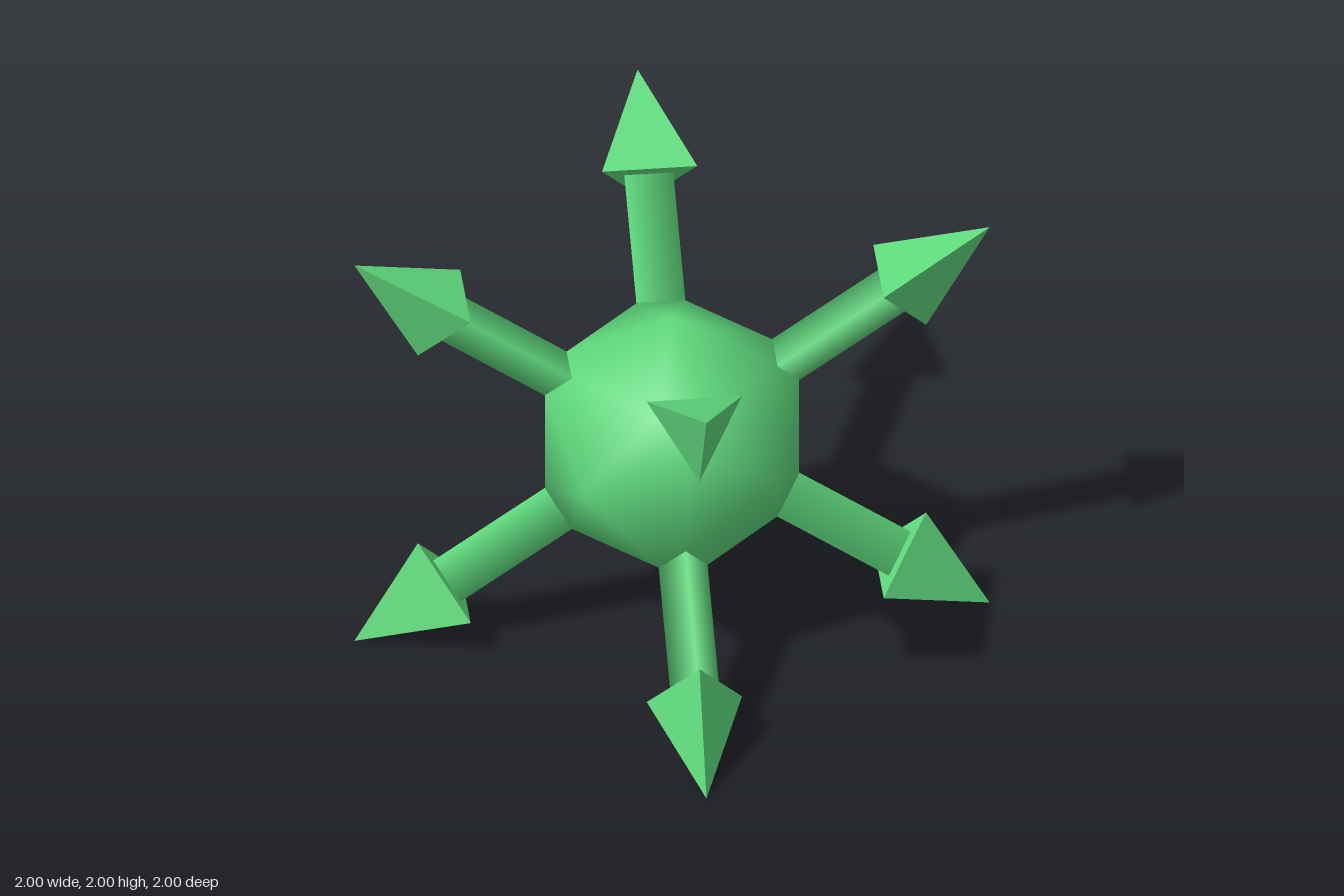
import * as THREE from 'three';
import { ConvexGeometry } from 'three/addons/geometries/ConvexGeometry.js';

const SIGNS = [-1, 1];

// Faceted ball: a point on each axis and a small triangle at each cube corner
function ballGeometry() {
  const points = [];
  for (const s of SIGNS) {
    for (let axis = 0; axis < 3; axis++) {
      points.push(new THREE.Vector3().setComponent(axis, s * 0.625));
      for (const a of SIGNS) for (const b of SIGNS) {
        const p = new THREE.Vector3(s, a, b).multiplyScalar(0.4);
        p.setComponent(axis, Math.sign(p.getComponent(axis)) * 0.25);
        points.push(p);
      }
    }
  }
  const geometry = new ConvexGeometry(points);
  // Radial normals shade the ball smoothly
  const pos = geometry.attributes.position;
  const n = new THREE.Vector3();
  for (let i = 0; i < pos.count; i++) {
    n.fromBufferAttribute(pos, i).normalize();
    geometry.attributes.normal.setXYZ(i, n.x, n.y, n.z);
  }
  return geometry;
}

export function createModel() {
  const model = new THREE.Group();
  model.name = 'spikedBall';
  const smooth = new THREE.MeshStandardMaterial({ color: 0x5fd97d });
  const flat = new THREE.MeshStandardMaterial({ color: 0x5fd97d, flatShading: true });

  const ball = new THREE.Mesh(ballGeometry(), smooth);
  ball.name = 'ball';
  ball.position.y = 1;
  model.add(ball);

  // Distances along the cube diagonal
  const root = 0.57, neck = 2.1 / Math.sqrt(3), tip = Math.sqrt(3);
  const shaftGeometry = new THREE.CylinderGeometry(0.126, 0.126, neck - root, 3)
    .translate(0, (neck + root) / 2, 0);
  const headGeometry = new THREE.ConeGeometry(0.1 * Math.sqrt(6), tip - neck, 3)
    .translate(0, (tip + neck) / 2, 0);

  // One arrow towards each cube corner, its three edges facing the axes
  for (const x of SIGNS) for (const y of SIGNS) for (const z of SIGNS) {
    const along = new THREE.Vector3(x, y, z).normalize();
    const edge = new THREE.Vector3(-2 * x, y, z).normalize();
    const side = new THREE.Vector3().crossVectors(along, edge);
    const arrow = new THREE.Group();
    arrow.name = 'arrow';
    arrow.quaternion.setFromRotationMatrix(new THREE.Matrix4().makeBasis(side, along, edge));
    arrow.position.y = 1;

    const shaft = new THREE.Mesh(shaftGeometry, smooth);
    shaft.name = 'arrowShaft';
    const head = new THREE.Mesh(headGeometry, flat);
    head.name = 'arrowHead';
    arrow.add(shaft, head);
    model.add(arrow);
  }
  return model;
}
